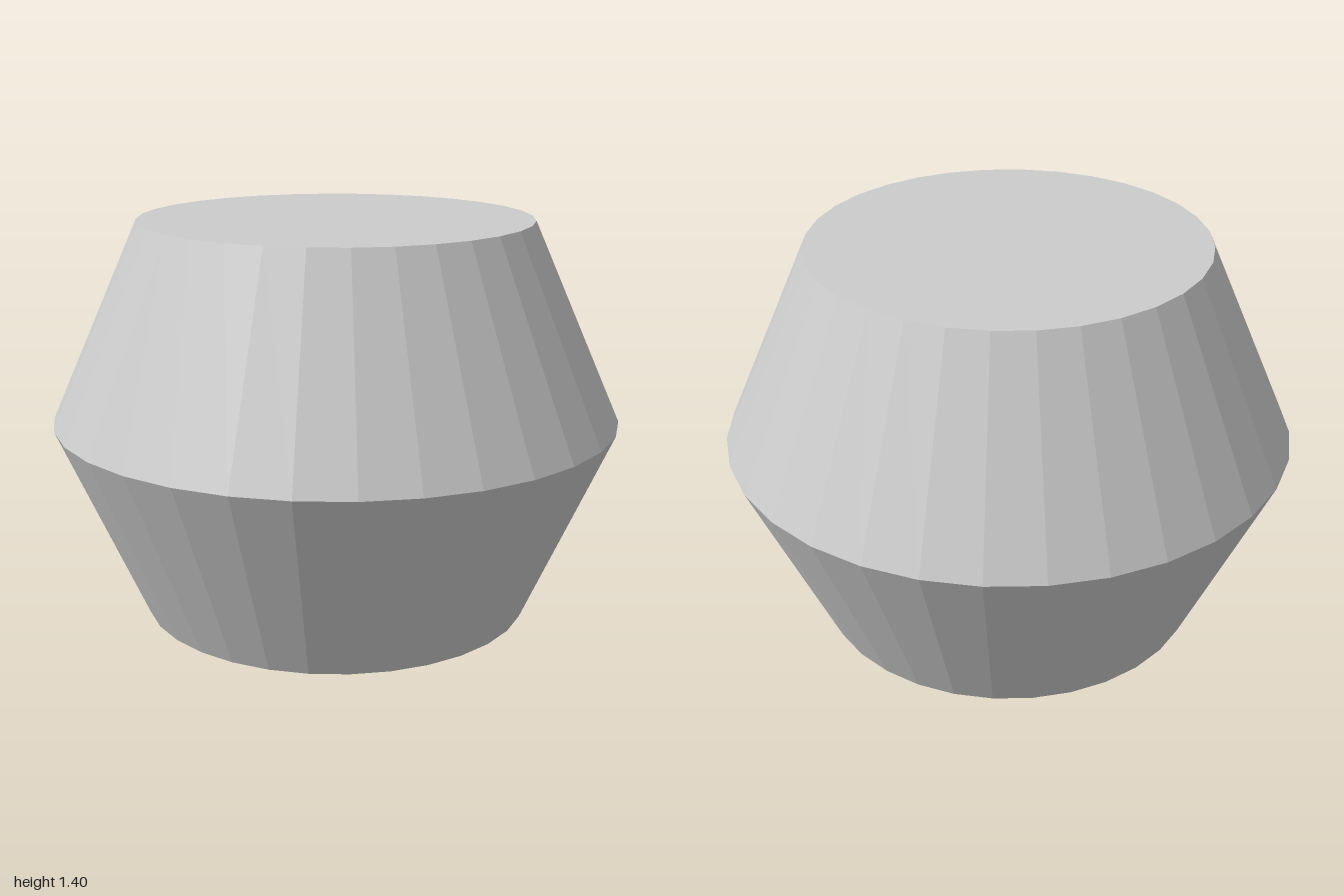
import * as THREE from 'three';

const SIDES = 32;
const RIM = 0.69, WAIST = 1, HALF = 0.7;

export function createModel() {
  const group = new THREE.Group();
  group.name = 'doubleCone';
  const material = new THREE.MeshStandardMaterial({ color: 0xcccccc, flatShading: true });

  // Closed faceted body: flat base, wide waist, flat top
  const profile = [[0, 0], [RIM, 0], [WAIST, HALF], [RIM, 2 * HALF], [0, 2 * HALF]]
    .map(([r, y]) => new THREE.Vector2(r, y));
  const body = new THREE.Mesh(new THREE.LatheGeometry(profile, SIDES), material);
  body.name = 'body';
  group.add(body);

  return group;
}
